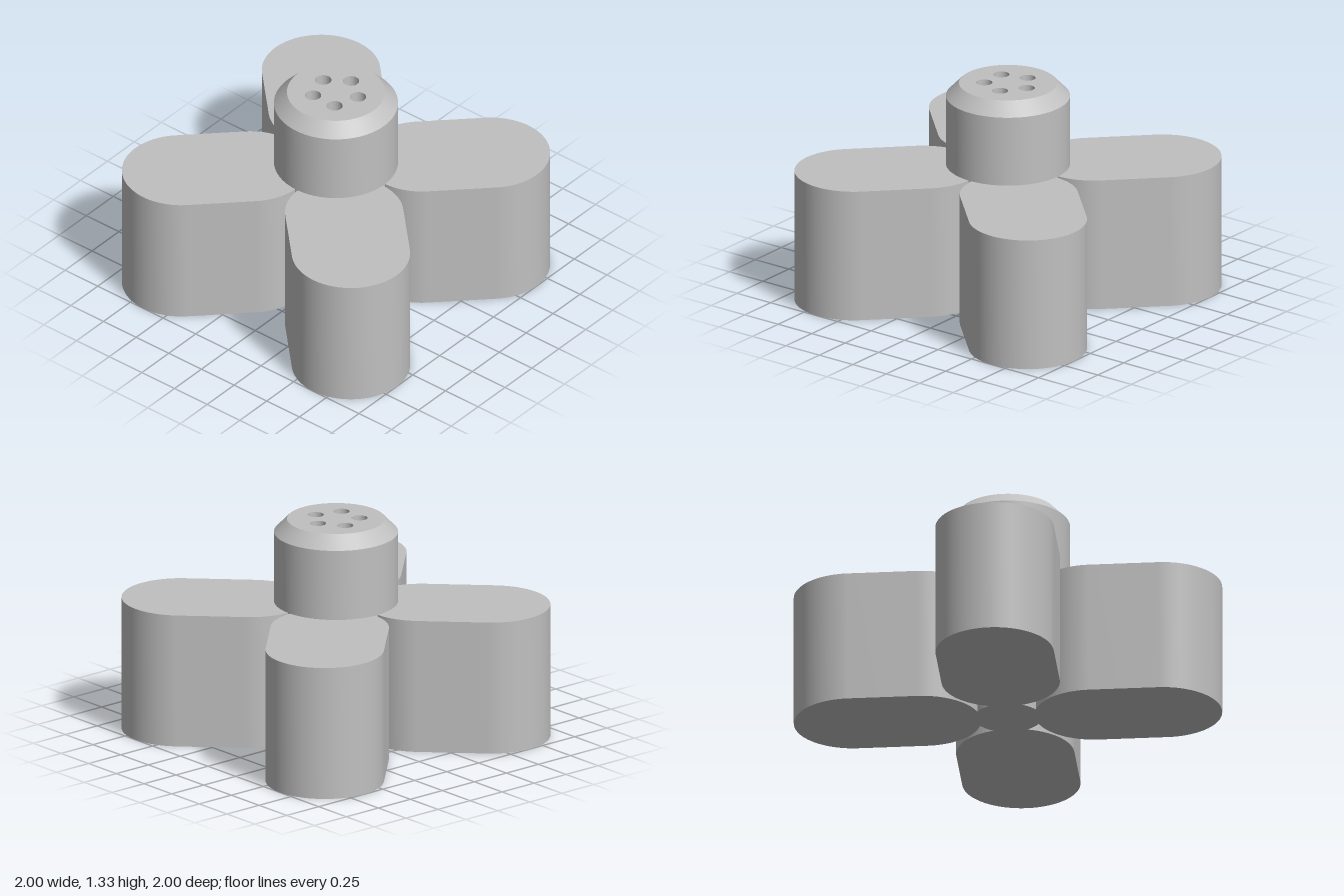
import * as THREE from 'three';
import { toCreasedNormals } from 'three/addons/utils/BufferGeometryUtils.js';

const CREASE = 0.5;

// Extrude an outline drawn in plan straight up from y = base
function extrudeUp(shape, base, height) {
  const geo = new THREE.ExtrudeGeometry(shape, { depth: height, bevelEnabled: false, curveSegments: 48 });
  geo.rotateX(-Math.PI / 2);
  geo.translate(0, base, 0);
  return toCreasedNormals(geo, CREASE);
}

export function createModel() {
  const model = new THREE.Group();
  model.name = 'fourArmKnob';
  const grey = new THREE.MeshStandardMaterial({ color: 0xc0c0c0 });
  grey.name = 'plainGrey';

  const add = (name, geo) => {
    const mesh = new THREE.Mesh(geo, grey);
    mesh.name = name;
    model.add(mesh);
    return mesh;
  };

  // Four rounded arms on the diagonals
  const r = 0.35, inner = 0.36 * Math.SQRT2, outer = 0.65 * Math.SQRT2;
  const armShape = new THREE.Shape();
  armShape.absarc(outer, 0, r, -Math.PI / 2, Math.PI / 2, false);
  armShape.absarc(inner, 0, r, Math.PI / 2, Math.PI * 1.5, false);
  armShape.closePath();
  const armGeo = extrudeUp(armShape, 0, 0.815);
  ['backLeftArm', 'backRightArm', 'frontRightArm', 'frontLeftArm'].forEach((name, i) => {
    add(name, armGeo).rotation.y = Math.PI / 4 + i * Math.PI / 2;
  });

  // Central column: narrow core between the arms, wide neck, chamfered rim
  const profile = [[0, 0], [0.2, 0], [0.2, 0.34], [0.367, 0.34], [0.367, 1.245], [0.29, 1.325]]
    .map(([x, y]) => new THREE.Vector2(x, y));
  add('column', toCreasedNormals(new THREE.LatheGeometry(profile, 96), CREASE));

  // Top plate with a ring of five round holes
  const depth = 0.12, top = 1.325;
  const plate = new THREE.Shape();
  plate.absarc(0, 0, 0.29, 0, Math.PI * 2, false);
  for (let i = 0; i < 5; i++) {
    const a = i * Math.PI * 2 / 5;
    const hole = new THREE.Path();
    hole.absarc(0.14 * Math.cos(a), 0.14 * Math.sin(a), 0.048, 0, Math.PI * 2, true);
    plate.holes.push(hole);
  }
  add('topPlate', extrudeUp(plate, top - depth, depth));

  // Floor closing the holes
  const floor = new THREE.CircleGeometry(0.28, 48);
  floor.rotateX(-Math.PI / 2);
  floor.translate(0, top - depth, 0);
  add('holeFloor', floor);

  return model;
}
